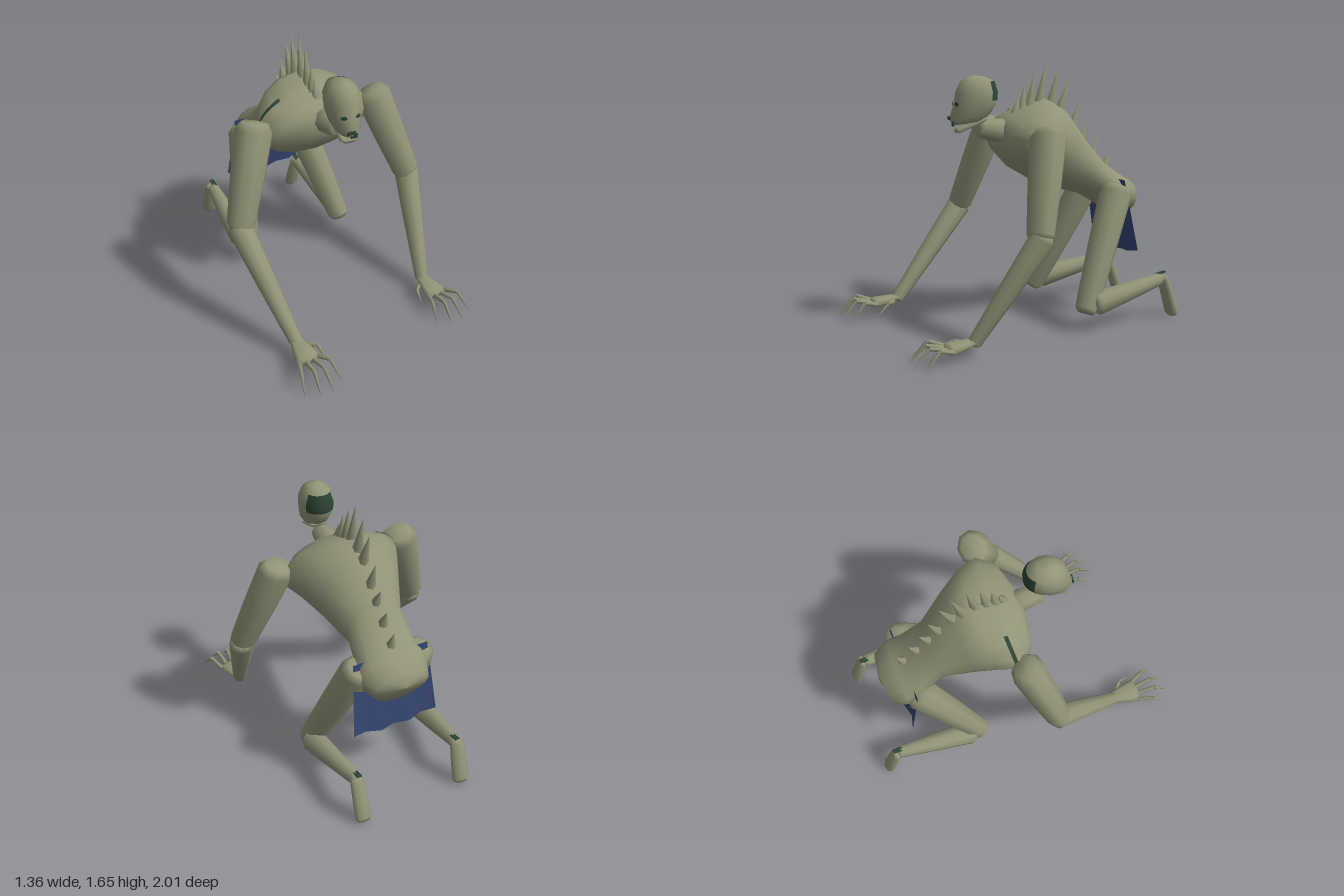
import * as THREE from 'three';

const mat = (name, color, side = THREE.FrontSide) => {
  const m = new THREE.MeshStandardMaterial({ color, side });
  m.name = name;
  return m;
};
const V = (x, y, z) => new THREE.Vector3(x, y, z);

// Skin through elliptical rings: [y1, z1, y2, z2, halfWidth]; (y1,z1) and (y2,z2) are opposite points.
function loft(rings, n, t0 = 0, t1 = Math.PI * 2, grow = 1) {
  const closed = t1 - t0 > 6.28, cols = closed ? n : n + 1;
  const pos = [], idx = [];
  for (const [y1, z1, y2, z2, w] of rings) {
    for (let j = 0; j < cols; j++) {
      const t = t0 + (t1 - t0) * j / n, c = Math.cos(t) * grow / 2;
      pos.push(w * grow * Math.sin(t), (y1 + y2) / 2 + (y1 - y2) * c, (z1 + z2) / 2 + (z1 - z2) * c);
    }
  }
  for (let i = 0; i < rings.length - 1; i++) {
    for (let j = 0; j < n; j++) {
      const k = closed ? (j + 1) % n : j + 1;
      const a = i * cols + j, b = i * cols + k, c = a + cols, d = b + cols;
      idx.push(a, b, c, b, d, c);
    }
  }
  const g = new THREE.BufferGeometry();
  g.setAttribute('position', new THREE.Float32BufferAttribute(pos, 3));
  g.setIndex(idx);
  g.computeVertexNormals();
  return g;
}

// Tapered limb from a to b with bevelled ends; sx and sz squash its section.
function limb(a, b, ra, rb, sides = 10, sx = 1, sz = 1) {
  const d = b.clone().sub(a), L = d.length();
  const p = [[0, 0], [ra * 0.7, 0.005], [ra, ra * 0.5], [(ra + rb) * 0.52, L * 0.5],
    [rb, L - rb * 0.4], [rb * 0.7, L], [0, L]].map(q => new THREE.Vector2(...q));
  const g = new THREE.LatheGeometry(p, sides);
  g.scale(sx, 1, sz);
  g.applyQuaternion(new THREE.Quaternion().setFromUnitVectors(V(0, 1, 0), d.normalize()));
  return g.translate(a.x, a.y, a.z);
}

// Pointed cone from base to tip.
function spike(base, tip, r, sides) {
  const d = tip.clone().sub(base), L = d.length();
  const g = new THREE.ConeGeometry(r, L, sides).translate(0, L / 2, 0);
  g.applyQuaternion(new THREE.Quaternion().setFromUnitVectors(V(0, 1, 0), d.normalize()));
  return g.translate(base.x, base.y, base.z);
}

export function createModel() {
  const root = new THREE.Group();
  const skin = mat('skin', 0x929478);
  const cloth = mat('blue cloth', 0x364672, THREE.DoubleSide);
  const dark = mat('dark green', 0x2c4434, THREE.DoubleSide);
  const add = (name, geo, m = skin, parent = root) => {
    const mesh = new THREE.Mesh(geo, m);
    mesh.name = name;
    parent.add(mesh);
    return mesh;
  };

  // Torso, from chest to rump
  add('torso', loft([
    [1.22, 0.11, 1.22, 0.11, 0],
    [1.28, 0.10, 1.15, 0.11, 0.10],
    [1.33, 0.05, 1.07, 0.08, 0.28],
    [1.375, -0.05, 0.98, -0.01, 0.38],
    [1.43, -0.20, 0.92, -0.11, 0.33],
    [1.36, -0.32, 0.86, -0.27, 0.26],
    [1.16, -0.48, 0.81, -0.45, 0.18],
    [1.00, -0.62, 0.74, -0.57, 0.20],
    [0.94, -0.71, 0.67, -0.68, 0.225],
    [0.88, -0.815, 0.66, -0.765, 0.18],
    [0.78, -0.83, 0.78, -0.83, 0],
  ], 16));
  // Stain on the right shoulder
  add('shoulderStain', loft([[1.38, -0.065, 0.975, -0.02, 0.377], [1.39, -0.09, 0.965, -0.04, 0.37]],
    6, -1.25, -0.6, 1.01), dark);

  // Spines: base z, base y, tip z, tip y
  [[0.0, 1.32, -0.03, 1.45], [-0.05, 1.35, -0.07, 1.52], [-0.10, 1.36, -0.14, 1.60],
    [-0.17, 1.39, -0.22, 1.66], [-0.25, 1.38, -0.31, 1.62], [-0.31, 1.33, -0.385, 1.55],
    [-0.40, 1.22, -0.46, 1.40], [-0.465, 1.14, -0.525, 1.26], [-0.55, 1.05, -0.60, 1.16],
    [-0.645, 0.95, -0.685, 1.07]].forEach(([bz, by, tz, ty], i) =>
    add('spine' + (i + 1), spike(V(0, by, bz), V(0, ty, tz), 0.036, 6)));

  // Neck and head, turned slightly
  add('neck', limb(V(0, 1.23, 0.05), V(0, 1.26, 0.25), 0.075, 0.06, 8));
  const head = new THREE.Group();
  head.name = 'head';
  head.position.set(0.012, 0, 0.25);
  head.rotation.y = -0.13;
  root.add(head);
  const skull = [
    [1.29, 0.12, 1.30, 0.02, 0],
    [1.285, 0.16, 1.31, -0.03, 0.06],
    [1.32, 0.18, 1.35, -0.08, 0.085],
    [1.40, 0.155, 1.41, -0.115, 0.102],
    [1.48, 0.14, 1.48, -0.12, 0.108],
    [1.54, 0.11, 1.545, -0.10, 0.085],
    [1.57, 0.07, 1.57, -0.04, 0.045],
    [1.58, 0.02, 1.58, 0.02, 0],
  ];
  add('skull', loft(skull, 14), skin, head);
  add('headStain', loft([[1.43, 0.15, 1.43, -0.117, 0.105], skull[4], skull[5]], 8, 2.2, 4.0, 1.02), dark, head);
  add('jaw', limb(V(0, 1.325, -0.05), V(0, 1.245, 0.14), 0.045, 0.042, 8, 1.35, 0.4), skin, head);
  for (const s of [-1, 1]) {
    const eye = new THREE.CircleGeometry(0.02, 8).scale(1, 0.65, 1).rotateY(s * 0.4);
    add(s > 0 ? 'leftEye' : 'rightEye', eye.translate(s * 0.044, 1.41, 0.145), dark, head);
  }
  add('nose', new THREE.BoxGeometry(0.05, 0.02, 0.008).translate(-0.01, 1.325, 0.177), dark, head);
  add('mouth', new THREE.BoxGeometry(0.04, 0.03, 0.008).translate(0.015, 1.293, 0.16), dark, head);

  // Limbs on both sides; the right hand reaches further forward
  for (const s of [-1, 1]) {
    const side = s > 0 ? 'left' : 'right';
    const P = (x, y, z) => V(s * x, y, z);
    const hz = s > 0 ? -0.115 : 0;
    const hy = s > 0 ? -0.02 : 0;

    // Arm
    add(side + 'UpperArm', limb(P(0.40, 1.28, -0.03), P(0.605, 0.67, 0.13), 0.108, 0.082, 9, 0.95, 1.08));
    add(side + 'Forearm', limb(P(0.61, 0.71, 0.10), P(0.50, 0.10 + hy, 0.62 + hz), 0.078, 0.042, 9));

    // Hand with four bent claws and a thumb
    const hand = new THREE.Group();
    hand.name = side + 'Hand';
    root.add(hand);
    add('palm', limb(P(0.50, 0.125 + hy, 0.59 + hz), P(0.505, 0.095 + hy, 0.79 + hz), 0.04, 0.078, 8, 1, 0.4), skin, hand);
    const finger = (name, a, b, c) => {
      add(name + 'Base', limb(a, b, 0.015, 0.012, 6), skin, hand);
      add(name + 'Claw', spike(b, c, 0.013, 6), skin, hand);
    };
    [[0.565, 0.605, 0.635, 0.96], [0.525, 0.54, 0.55, 1.0], [0.485, 0.475, 0.465, 1.0], [0.45, 0.41, 0.385, 0.96]]
      .forEach(([xa, xb, xc, z], i) => finger('finger' + (i + 1), P(xa, 0.095 + hy, 0.76 + hz),
        P(xb, 0.13 + hy, z - 0.1 + hz), P(xc, 0.01, z + hz)));
    finger('thumb', P(0.46, 0.10 + hy, 0.65 + hz), P(0.405, 0.11 + hy, 0.70 + hz), P(0.385, 0.035, 0.79 + hz));

    // Leg
    add(side + 'Thigh', limb(P(0.185, 0.87, -0.64), P(0.365, 0.12, -0.31), 0.105, 0.072, 9));
    add(side + 'Shin', limb(P(0.375, 0.17, -0.35), P(0.34, 0.27, -0.89), 0.076, 0.04, 9));
    add(side + 'Foot', limb(P(0.345, 0.29, -0.89), P(0.34, 0.02, -0.98), 0.045, 0.054, 8, 1, 0.65));
    add(side + 'HeelStain', new THREE.BoxGeometry(0.03, 0.006, 0.06).rotateX(0.2)
      .translate(s * 0.335, 0.306, -0.885), dark);
  }

  // Hanging cloth with soft folds
  const sheet = new THREE.PlaneGeometry(1, 1, 6, 4);
  const p = sheet.attributes.position;
  for (let i = 0; i < p.count; i++) {
    const u = p.getX(i), v = 0.5 - p.getY(i);
    const fold = Math.cos(u * 19) * 0.012 * v;
    p.setXYZ(i, u * (0.49 + 0.07 * v), 0.91 - v * 0.485 + u * u * 0.12 * v, -0.655 - 0.075 * v + fold);
  }
  sheet.computeVertexNormals();
  add('loincloth', sheet, cloth);

  return root;
}
